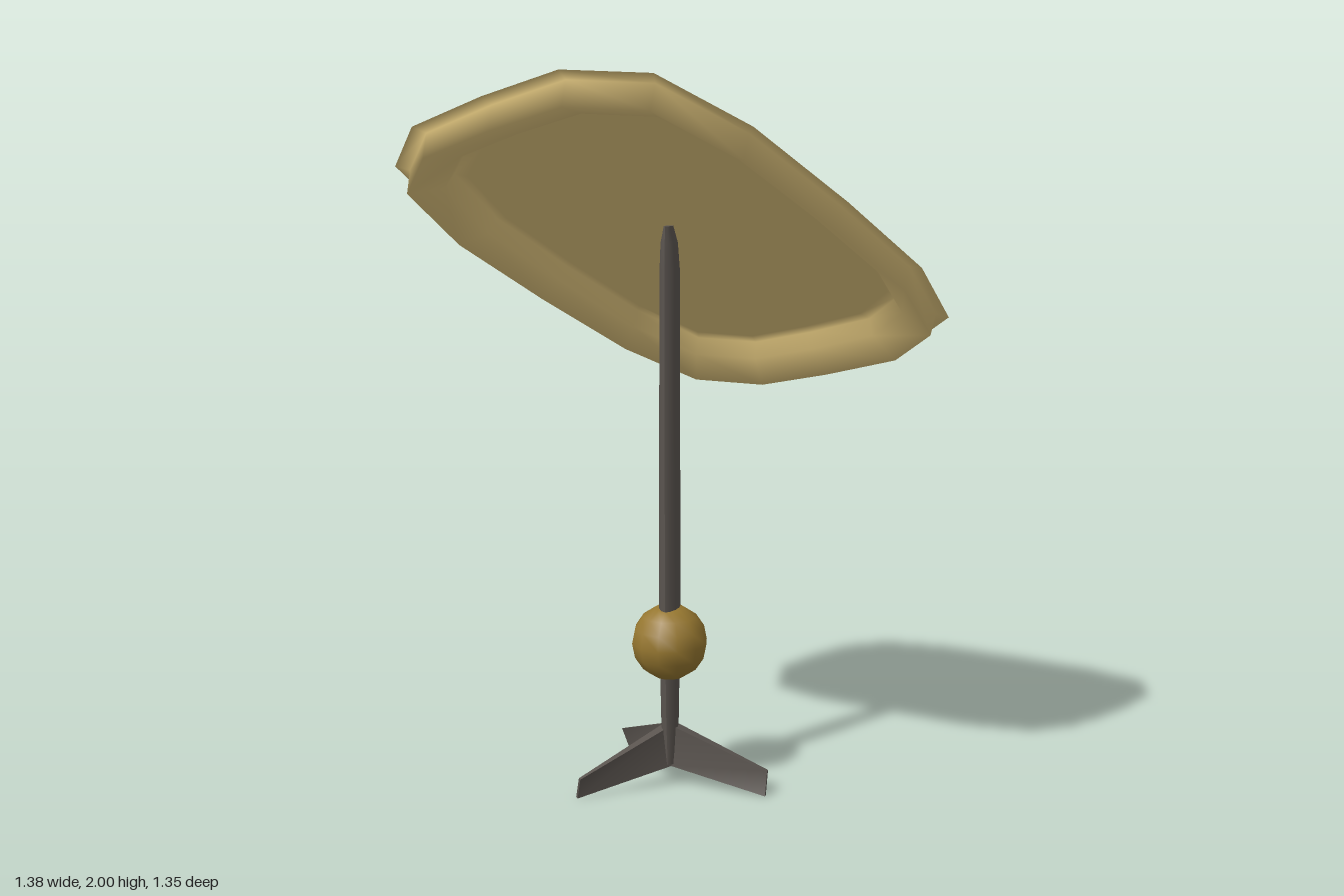
import * as THREE from 'three';

const TILT = 0.578;
const mat = (color, side = THREE.FrontSide) => new THREE.MeshStandardMaterial({ color, side });

// Half of the tray's plan outline (x, z); the other half is its half-turn
const HALF = [
  [-0.14, -0.66], [0.085, -0.675], [0.32, -0.588], [0.56, -0.48],
  [0.69, -0.325], [0.647, -0.085], [0.50, 0.195], [0.327, 0.478],
];

// Pressed sheet tray: flange, drop, rising channel, steep step, flat panel, as [scale, height]
const PROFILE = [
  [1, 0], [0.95, 0], [0.94, -0.07], [0.825, -0.025], [0.805, 0.025], [0.76, 0.027], [0.4, 0.027],
];

function trayGeometry() {
  const outline = [...HALF, ...HALF.map(([x, z]) => [-x, -z])];
  const n = outline.length, pos = [], idx = [];
  for (const [s, h] of PROFILE) {
    for (const [x, z] of outline) pos.push(x * s, h, (z / Math.cos(TILT)) * s);
  }
  for (let r = 0; r < PROFILE.length - 1; r++) {
    for (let i = 0; i < n; i++) {
      const a = r * n + i, b = r * n + (i + 1) % n;
      idx.push(b, a, a + n, b, a + n, b + n);
    }
  }
  // close the panel at its centre
  const last = (PROFILE.length - 1) * n, centre = PROFILE.length * n;
  pos.push(0, 0.027, 0);
  for (let i = 0; i < n; i++) idx.push(last + (i + 1) % n, last + i, centre);
  const g = new THREE.BufferGeometry();
  g.setAttribute('position', new THREE.Float32BufferAttribute(pos, 3));
  g.setIndex(idx);
  g.computeVertexNormals();
  return g;
}

// Oval post: stations of [y, centre x, centre z, radius x, radius z]
const POST = [
  [0.07, -0.026, 0.022, 0.018, 0.024], [0.2, -0.026, 0.024, 0.024, 0.035],
  [0.4, -0.025, 0.028, 0.027, 0.042], [0.6, -0.024, 0.032, 0.029, 0.045],
  [1.5, -0.015, 0.056, 0.025, 0.045], [1.57, -0.015, 0.06, 0.021, 0.04],
  [1.615, -0.015, 0.066, 0.01, 0.03],
];

function postGeometry() {
  const g = new THREE.CylinderGeometry(1, 1, 1, 12, POST.length - 1);
  const p = g.attributes.position;
  for (let i = 0; i < p.count; i++) {
    const k = Math.round((p.getY(i) + 0.5) * (POST.length - 1));
    const [y, cx, cz, rx, rz] = POST[k];
    p.setXYZ(i, cx + p.getX(i) * rx, y, cz + p.getZ(i) * rz);
  }
  g.computeVertexNormals();
  return g;
}

// Tapered, slightly twisted blade running along +x, sloping down to the ground
function legGeometry(length) {
  const g = new THREE.BoxGeometry(1, 1, 1);
  const p = g.attributes.position;
  for (let i = 0; i < p.count; i++) {
    const tip = p.getX(i) > 0, top = p.getY(i) > 0;
    const y = tip ? (top ? 0.07 : 0.004) : (top ? 0.19 : 0.065);
    const twist = tip ? (top ? -0.012 : 0.012) : 0;
    p.setXYZ(i, tip ? length : 0, y, p.getZ(i) * (tip ? 0.012 : 0.036) + twist);
  }
  g.computeVertexNormals();
  return g;
}

export function createModel() {
  const model = new THREE.Group();
  model.name = 'trayStand';
  const add = (name, geometry, material) => {
    const mesh = new THREE.Mesh(geometry, material);
    mesh.name = name;
    model.add(mesh);
    return mesh;
  };
  const dark = mat(0x5a544f);

  const tray = add('tiltedTray', trayGeometry(), mat(0xe4c880, THREE.DoubleSide));
  tray.rotation.x = -TILT;
  tray.position.y = 1.562;

  add('post', postGeometry(), dark);

  const ball = add('ball', new THREE.SphereGeometry(0.109, 12, 8), mat(0x967730));
  ball.position.set(-0.025, 0.437, 0.03);

  // Three splayed feet, given by the plan position of each tip
  const hub = [-0.025, 0.02];
  for (const [x, z] of [[0.26, 0.015], [-0.24, 0.21], [-0.235, -0.2]]) {
    const dx = x - hub[0], dz = z - hub[1];
    const leg = add('foot', legGeometry(Math.hypot(dx, dz)), dark);
    leg.position.set(hub[0], 0, hub[1]);
    leg.rotation.y = Math.atan2(-dz, dx);
  }
  return model;
}
